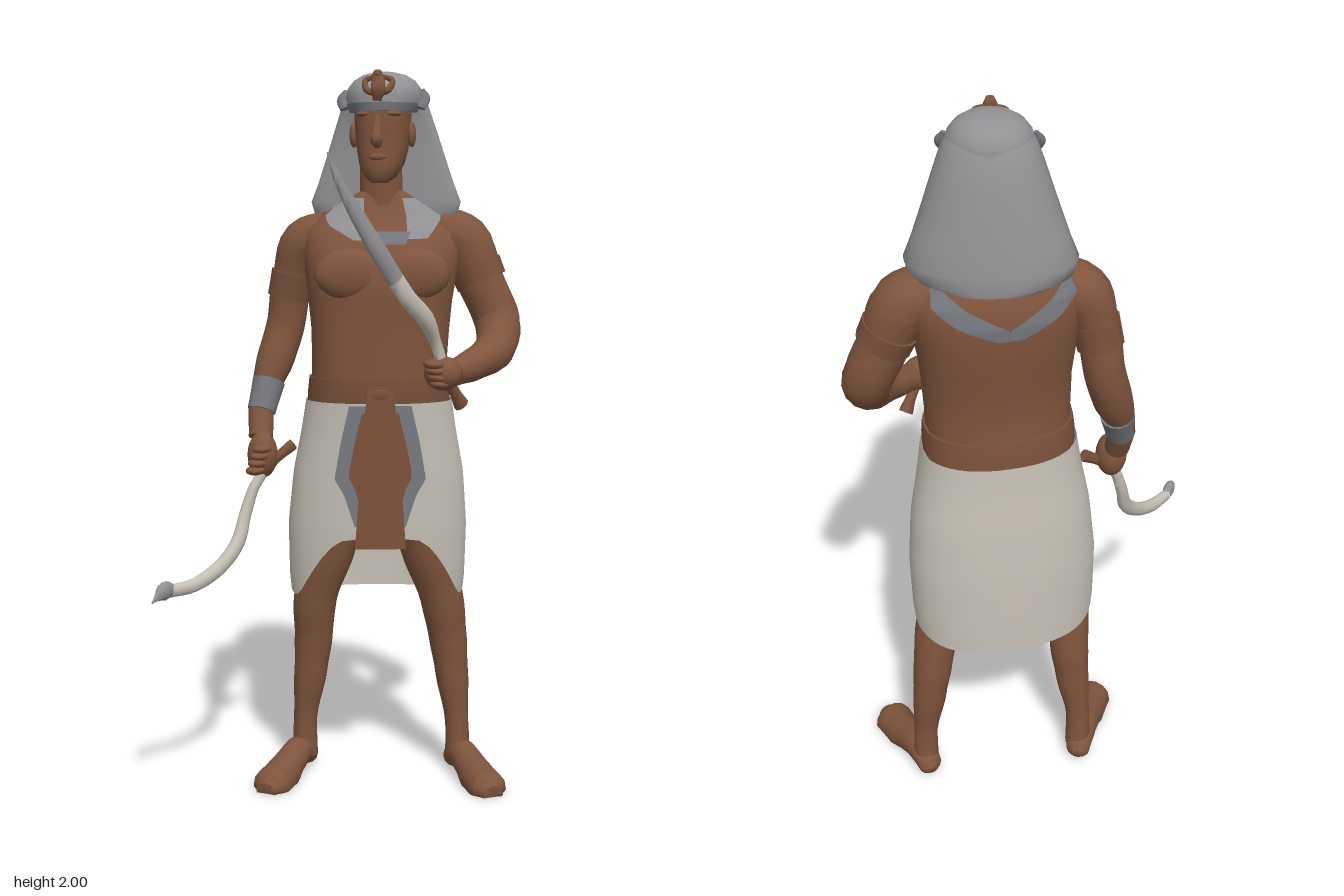
import * as THREE from 'three';
import { toCreasedNormals } from 'three/addons/utils/BufferGeometryUtils.js';

const V = (x, y, z) => new THREE.Vector3(x, y, z);
const mat = (name, color, side = THREE.DoubleSide) => Object.assign(new THREE.MeshStandardMaterial({ color, side }), { name });

// Skin a stack of point rings; closed rings get end caps
function skin(rings, closed = true) {
  const n = rings[0].length, pos = [], idx = [], last = rings.length - 1;
  rings.forEach(r => r.forEach(p => pos.push(p.x, p.y, p.z)));
  for (let i = 0; i < last; i++) for (let j = 0; j < (closed ? n : n - 1); j++) {
    const k = (j + 1) % n, a = i * n + j, b = i * n + k;
    idx.push(a, b, b + n, a, b + n, a + n);
  }
  if (closed) for (const i of [0, last]) {
    const c = rings[i].reduce((s, p) => s.add(p), V(0, 0, 0)).divideScalar(n), ci = pos.length / 3;
    pos.push(c.x, c.y, c.z);
    for (let j = 0; j < n; j++) {
      const a = i * n + j, b = i * n + (j + 1) % n;
      i ? idx.push(ci, a, b) : idx.push(ci, b, a);
    }
  }
  const g = new THREE.BufferGeometry();
  g.setAttribute('position', new THREE.Float32BufferAttribute(pos, 3));
  g.setIndex(idx);
  return toCreasedNormals(g, 1.0);
}

// Section rows are [y, centreX, centreZ, radiusX, radiusFront, radiusBack]
function at(rows, y) {
  let i = 0;
  while (i < rows.length - 2 && y > rows[i + 1][0]) i++;
  const f = THREE.MathUtils.clamp((y - rows[i][0]) / (rows[i + 1][0] - rows[i][0]), 0, 1);
  return rows[i].map((v, k) => THREE.MathUtils.lerp(v, rows[i + 1][k], f));
}
const power = (v, n) => Math.sign(v) * Math.abs(v) ** (2 / n);
function section([, cx, cz, rx, rf, rb = rf], y, t, n) {
  const c = power(Math.cos(t), n);
  return V(cx + rx * power(Math.sin(t), n), y, cz + c * (c > 0 ? rf : rb));
}
const loft = (rows, n = 2, seg = 28) => skin(rows.map(r =>
  Array.from({ length: seg }, (_, j) => section(r, r[0], j / seg * Math.PI * 2, n))));

// Tapered limb through [x, y, z, radius]; "flat" scales it along ref
function limb(pts, flat = 1, ref = V(0, 0, 1), seg = 14, steps = 5) {
  const curve = new THREE.CatmullRomCurve3(pts.map(p => V(...p)));
  const m = (pts.length - 1) * steps, rings = [];
  for (let i = 0; i <= m; i++) {
    const t = i / m, k = Math.min(Math.floor(i / steps), pts.length - 2), f = i / steps - k;
    const r = THREE.MathUtils.lerp(pts[k][3], pts[k + 1][3], f * f * (3 - 2 * f));
    const tan = curve.getTangent(t), c = curve.getPoint(t);
    const u = ref.clone().addScaledVector(tan, -ref.dot(tan)).normalize(), s = u.clone().cross(tan);
    rings.push(Array.from({ length: seg }, (_, j) => {
      const a = j / seg * Math.PI * 2;
      const p = c.clone().addScaledVector(s, r * Math.cos(a)).addScaledVector(u, r * flat * Math.sin(a));
      p.y = Math.max(p.y, 0);
      return p;
    }));
  }
  return skin(rings);
}

// Thin sheet from rows of [y, leftX, rightX], laid on a depth rule
function sheet(rows, depth, cols = 10, steps = 4) {
  const rings = [], m = (rows.length - 1) * steps, up = rows.slice().reverse();
  for (let i = 0; i <= m; i++) {
    const y = THREE.MathUtils.lerp(up[0][0], up.at(-1)[0], i / m), [, a, b] = at(up, y);
    rings.push(Array.from({ length: cols + 1 }, (_, j) => {
      const x = a + (b - a) * j / cols;
      return V(x, y, depth(x, y));
    }));
  }
  return skin(rings, false);
}

export function createModel() {
  const model = new THREE.Group();
  const SKIN = mat('brown skin', 0x80553d, THREE.FrontSide), LEATHER = mat('brown cloth', 0x7a503a);
  const LINEN = mat('linen', 0xc6c0b5), GREY = mat('grey cloth', 0x929295), DARK = mat('dark grey trim', 0x74777d);
  const add = (name, geo, m, parent = model) => {
    const o = new THREE.Mesh(geo, m);
    o.name = name;
    parent.add(o);
    return o;
  };
  const ball = (name, p, s, m, parent) => {
    const o = add(name, new THREE.SphereGeometry(1, 16, 12), m, parent);
    o.position.set(...p);
    o.scale.set(...s);
    return o;
  };

  // Torso and neck
  const torso = [
    [1.08, .112, -.145, .19, .135], [1.2, .112, -.135, .188, .13], [1.3, .115, -.14, .192, .132],
    [1.38, .115, -.145, .2, .143], [1.46, .117, -.148, .212, .148], [1.52, .12, -.155, .22, .135, .145],
    [1.57, .12, -.16, .215, .112, .13], [1.61, .12, -.165, .175, .092, .11], [1.65, .12, -.165, .11, .08, .085], [1.68, .12, -.15, .06, .06, .06]]
    .map(r => [...r, r[5] ?? r[4]].slice(0, 6));
  add('torso', loft(torso, 2.4), SKIN);
  add('neck', limb([[.12, 1.6, -.15, .07], [.117, 1.68, -.14, .06], [.115, 1.78, -.14, .058]]), SKIN);
  for (const s of [-1, 1]) ball('chestMuscle', [.113 + s * .085, 1.455, -.03], [.1, .07, .034], SKIN);
  const onTorso = (side, off) => (x, y) => {
    const [, cx, cz, rx, rf, rb] = at(torso, y), d = Math.min(1, Math.abs((x - cx) / rx));
    return cz + side * ((side > 0 ? rf : rb) * (1 - d ** 2.4) ** (1 / 2.4) + off);
  };

  // Collar and the cloth ends lying on the chest
  const front = onTorso(1, .008);
  add('rightLappet', sheet([[1.66, .01, .065], [1.61, -.04, .065], [1.585, -.03, .07], [1.545, .035, .075]], front), GREY);
  add('leftLappet', sheet([[1.66, .17, .22], [1.61, .18, .28], [1.58, .18, .26], [1.55, .18, .235]], front), GREY);
  add('collarFront', sheet([[1.57, .05, .19], [1.535, .065, .175]], onTorso(1, .01)), DARK);
  for (const s of [-1, 1]) add('collarBack', sheet([[1.61, .15, .175], [1.57, .1, .18], [1.53, .03, .13], [1.515, 0, .1], [1.485, 0, .03]]
    .map(([y, a, b]) => [y, .115 + s * a, .115 + s * b]), onTorso(-1, .007)), DARK);

  // Belt and wrapped skirt, with the hem lifted at the front
  add('belt', loft([[1.1, .112, -.145, .199, .145], [1.13, .112, -.142, .199, .145], [1.17, .112, -.138, .195, .14]], 2.3), LEATHER);
  const skirt = [
    [.5, .11, -.175, .24, .14, .152], [.6, .11, -.17, .25, .15, .156], [.75, .11, -.165, .253, .156, .158],
    [.9, .112, -.158, .24, .153, .155], [1.02, .112, -.15, .217, .149, .15], [1.105, .112, -.145, .204, .149, .149]];
  const skirtRings = [];
  for (let i = 0; i <= 14; i++) skirtRings.push(Array.from({ length: 49 }, (_, j) => {
    const t = j / 48 * Math.PI * 2, a = Math.min(t, Math.PI * 2 - t);
    const hem = .525 + .03 * Math.exp(-((a - 1.6) ** 2) * 3) + .2 * (1 - THREE.MathUtils.smoothstep(a, .3, 1.3));
    const y = THREE.MathUtils.lerp(hem, 1.105, i / 14);
    return section(at(skirt, y), y, t, 2.25);
  }));
  add('skirt', skin(skirtRings, false), LINEN);

  // Apron with stepped side pendants
  const hang = off => (x, y) => .006 + off + (1.12 - y) * .06;
  for (const s of [-1, 1]) {
    const flip = rows => rows.map(([y, a, b]) => [y, .106 + s * a, .106 + s * b]);
    add('pendant', sheet(flip([[1.1, .03, .085], [1.0, .03, .108], [.9, .03, .125], [.86, .03, .1], [.83, .03, .09], [.77, .03, .07]]), hang(0), 4), DARK);
    add('pendantInlay', sheet(flip([[1.08, .03, .05], [1.0, .03, .07], [.91, .03, .088], [.87, .03, .068], [.8, .03, .05]]), hang(.004), 4), LEATHER);
  }
  add('apron', sheet([[1.15, .07, .142], [1.0, .058, .155], [.71, .036, .176]], hang(.008), 4), LEATHER);
  ball('buckle', [.106, 1.13, .006], [.04, .022, .01], LEATHER);

  // Legs and feet
  add('rightLeg', limb([[.01, .85, -.16, .09], [-.03, .68, -.175, .08], [-.067, .52, -.19, .062], [-.072, .4, -.208, .055],
    [-.08, .3, -.215, .048], [-.096, .15, -.228, .034], [-.096, .04, -.232, .036]]), SKIN);
  add('leftLeg', limb([[.21, .85, -.15, .09], [.255, .68, -.165, .08], [.298, .52, -.175, .062], [.318, .4, -.188, .055],
    [.33, .3, -.19, .048], [.346, .15, -.185, .034], [.35, .04, -.187, .036]]), SKIN);
  const foot = (x, z, dx, dz) => limb([[0, .03, .016], [.06, .032, .034], [.25, .055, .042], [.45, .042, .045], [.65, .022, .052], [.87, .008, .056], [1, .004, .03]]
    .map(([t, y, r]) => [x + dx * t, y, z + dz * t, r]), 1, V(0, 1, 0));
  add('rightFoot', foot(-.082, -.278, -.13, .275), SKIN);
  add('leftFoot', foot(.338, -.235, .086, .283), SKIN);

  // Arms, with armbands and a wrist guard
  add('rightArm', limb([[-.02, 1.56, -.17, .066], [-.09, 1.535, -.19, .07], [-.13, 1.43, -.205, .056], [-.148, 1.31, -.215, .054],
    [-.175, 1.22, -.2, .053], [-.215, 1.1, -.165, .036], [-.22, 1.0, -.12, .034]]), SKIN);
  add('leftArm', limb([[.27, 1.57, -.16, .072], [.345, 1.54, -.155, .076], [.395, 1.43, -.145, .066], [.44, 1.32, -.125, .064],
    [.425, 1.25, -.06, .056], [.36, 1.215, .01, .045], [.3, 1.195, .055, .036]], 1, V(0, 1, .6)), SKIN);
  add('rightArmband', limb([[-.124, 1.455, -.2, .063], [-.138, 1.385, -.208, .061]]), LEATHER);
  add('leftArmband', limb([[.378, 1.475, -.15, .075], [.398, 1.43, -.144, .072]]), LEATHER);
  add('wristGuard', limb([[-.197, 1.15, -.182, .046], [-.218, 1.07, -.15, .04]]), DARK);

  // Fists with curled fingers
  function fist(name, p, size, step, ref) {
    const g = new THREE.Group();
    g.name = name;
    g.position.set(...p);
    model.add(g);
    ball('palm', [0, 0, 0], size, SKIN, g);
    for (let i = 0; i < 4; i++) {
      const k = i - 1.5, q = step.map(v => v * k);
      const f = ball('finger', [q[0] + ref[0], q[1] + ref[1], q[2] + ref[2]], [.028, .014, .028], SKIN, g);
      f.rotation.z = step[0] * 12;
    }
  }
  fist('rightHand', [-.215, .955, -.085], [.042, .065, .045], [.006, .02, 0], [-.01, -.01, .025]);
  fist('leftHand', [.27, 1.195, .07], [.052, .046, .045], [-.006, .018, .004], [-.02, 0, .022]);

  // Curved weapons: brown grip, pale shank and grey blade
  const plane = V(.6, 0, .8), plane2 = V(.62, 0, .78);
  add('leftGrip', limb([[.325, 1.105, .025, .022], [.305, 1.14, .045, .016], [.28, 1.18, .068, .016]], .8, plane, 10), LEATHER);
  add('leftShank', limb([[.28, 1.18, .068, .016], [.25, 1.27, .09, .018], [.215, 1.345, .15, .026],
    [.165, 1.4, .2, .026], [.13, 1.45, .225, .026]], .6, plane, 10), LINEN);
  add('leftBlade', limb([[.13, 1.45, .225, .026], [.085, 1.52, .26, .026], [.03, 1.61, .292, .022], [-.015, 1.69, .315, .014],
    [-.047, 1.765, .33, .002]], .6, plane, 10), GREY);
  add('rightGrip', limb([[-.13, .98, -.11, .017], [-.175, .945, -.09, .014], [-.215, .905, -.07, .015]], .8, plane2, 10), LEATHER);
  add('rightShank', limb([[-.215, .905, -.07, .015], [-.24, .865, -.058, .016], [-.262, .8, -.045, .018],
    [-.285, .72, -.015, .021], [-.335, .66, .03, .021], [-.4, .625, .08, .02], [-.46, .62, .125, .018]], .8, plane2, 10), LINEN);
  add('sickleTip', limb([[-.455, .62, .12, .018], [-.475, .625, .145, .026], [-.505, .603, .188, .003]], .6, plane2, 10), GREY);

  // Head, turned a little to its right
  const head = new THREE.Group();
  head.name = 'head';
  head.position.set(.125, 0, -.15);
  head.rotation.y = -.24;
  model.add(head);
  add('face', loft([[1.7, 0, .075, .022, .028], [1.715, 0, .062, .042, .052], [1.75, 0, .04, .06, .074], [1.79, 0, .028, .069, .084],
    [1.83, 0, .022, .074, .09], [1.88, 0, .02, .077, .095], [1.93, 0, .01, .078, .1], [1.96, 0, 0, .06, .08]], 2.3), SKIN, head);
  add('nose', limb([[0, 1.875, .106, .01], [0, 1.84, .118, .012], [0, 1.812, .124, .017], [0, 1.8, .108, .012]]), SKIN, head);
  ball('lips', [0, 1.768, .106], [.026, .011, .012], SKIN, head);
  for (const s of [-1, 1]) {
    ball('brow', [s * .035, 1.882, .095], [.028, .008, .018], SKIN, head);
    ball('ear', [s * .08, 1.83, .028], [.012, .034, .02], SKIN, head);
  }

  // Headcloth: rounded crown over the brow, wide wings falling behind the ears
  add('headclothCrown', loft([[1.9, 0, 0, .096, .114, .09], [1.93, 0, 0, .106, .116, .092], [1.955, 0, 0, .1, .106, .085],
    [1.975, 0, 0, .085, .088, .072], [1.99, 0, .005, .06, .06, .05], [1.998, 0, .005, .028, .028, .025]], 2.05), GREY, head);
  add('headclothWings', loft([[1.6, 0, -.02, .165, .025, .128], [1.615, 0, -.02, .2, .03, .13], [1.65, 0, -.02, .21, .03, .127],
    [1.7, 0, -.018, .19, .028, .123], [1.78, 0, -.015, .163, .025, .113], [1.85, 0, -.01, .14, .022, .105], [1.9, 0, -.005, .123, .03, .098],
    [1.935, 0, 0, .11, .04, .09], [1.965, 0, 0, .09, .045, .075], [1.99, 0, 0, .056, .03, .045]], 2.15, 36), GREY, head);
  add('browBand', loft([[1.89, 0, 0, .094, .117, .09], [1.912, 0, 0, .104, .119, .09]], 2.05), DARK, head);
  for (const s of [-1, 1]) add('templeFold', limb([[s * .104, 1.9, .035, .014], [s * .113, 1.925, .02, .016], [s * .104, 1.95, .01, .008]], .5), DARK, head);

  // Rearing snake ornament on the brow
  add('snakeOrnament', limb([[0, 1.915, .118, .012], [.004, 1.945, .124, .02], [0, 1.975, .106, .018], [0, 1.992, .11, .011],
    [0, 1.982, .124, .005]], .5), LEATHER, head);
  for (const s of [-1, 1]) add('snakeCoil', limb([[0, 1.93, .118, .007], [s * .03, 1.945, .108, .009], [s * .036, 1.97, .09, .008],
    [s * .012, 1.98, .09, .006]], 1, V(0, 0, 1), 8), LEATHER, head);
  return model;
}
